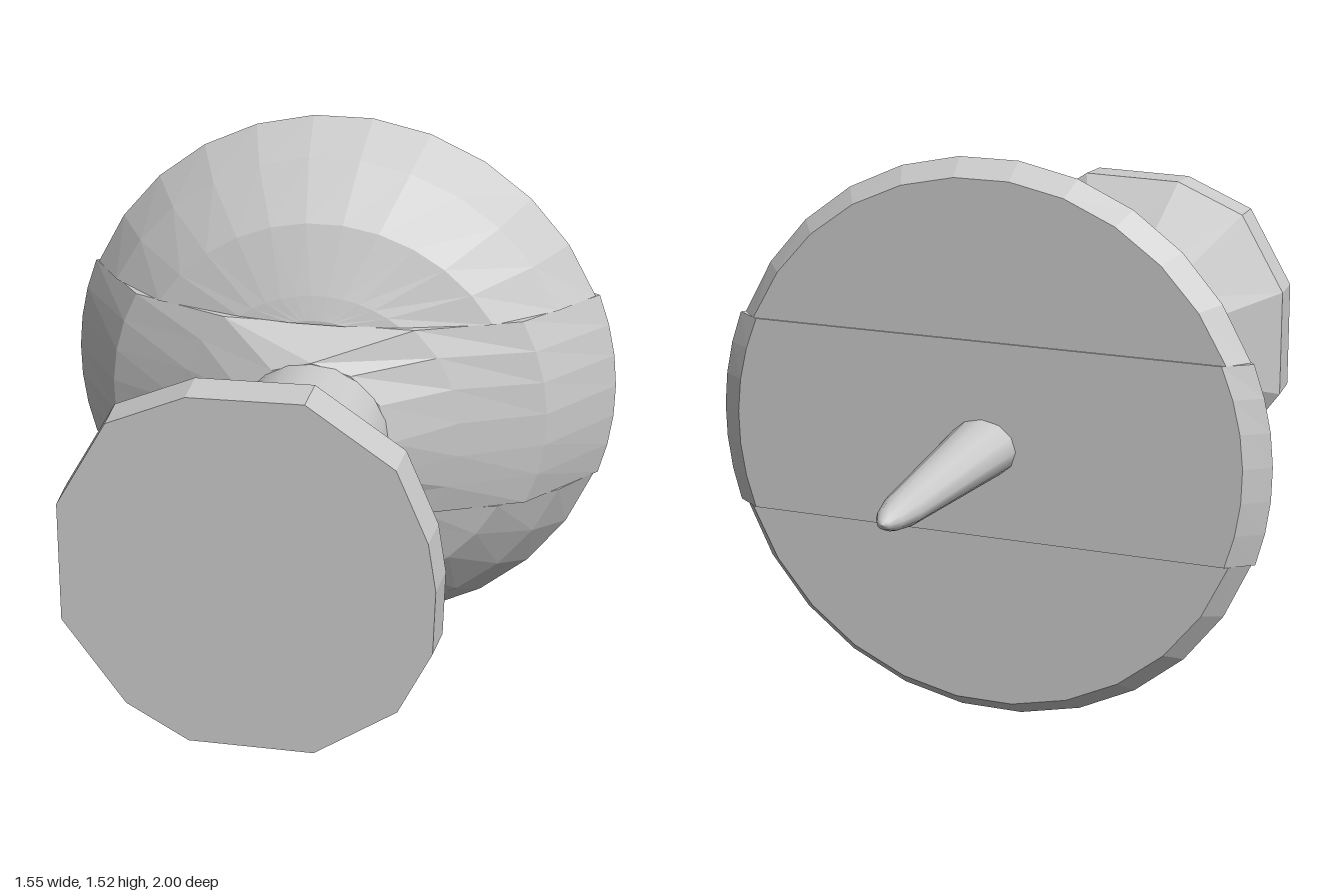
import * as THREE from 'three';

const AXIS_Y = 0.765;      // height of the pin's axis
const CUT_TOP = 0.29;      // slab limits above and below the axis
const CUT_BOTTOM = 0.245;

const flat = new THREE.MeshStandardMaterial({ color: 0xcccccc, flatShading: true });
const smooth = new THREE.MeshStandardMaterial({ color: 0xcccccc });

// Skin closed rings (counter-clockwise seen from +z, ordered front to back) and cap both ends
function loft(rings) {
  const n = rings[0].length, last = (rings.length - 1) * n, index = [];
  for (let i = 0; i < rings.length - 1; i++) {
    for (let j = 0; j < n; j++) {
      const k = (j + 1) % n, a = i * n + j, b = i * n + k;
      index.push(a, a + n, b, b, a + n, b + n);
    }
  }
  for (let j = 1; j < n - 1; j++) index.push(0, j, j + 1, last, last + j + 1, last + j);
  const geometry = new THREE.BufferGeometry();
  geometry.setAttribute('position', new THREE.Float32BufferAttribute(rings.flat(2), 3));
  geometry.setIndex(index);
  const result = geometry.toNonIndexed();
  result.computeVertexNormals();
  return result;
}

// Points on an arc of radius r in the plane z
function arc(r, z, from, to, steps) {
  return Array.from({ length: steps + 1 }, (_, i) => {
    const t = from + (to - from) * i / steps;
    return [r * Math.cos(t), r * Math.sin(t), z];
  });
}

const cutAngle = (h, r) => Math.asin(Math.min(1, h / r));

// Lathe turned so that its profile runs along z
function turned(profile, sides) {
  const points = profile.map(([r, z]) => new THREE.Vector2(r, z));
  return new THREE.LatheGeometry(points, sides).rotateX(Math.PI / 2);
}

export function createModel() {
  const group = new THREE.Group();
  function add(name, geometry, material) {
    const mesh = new THREE.Mesh(geometry, material);
    mesh.name = name;
    mesh.position.y = AXIS_Y;
    group.add(mesh);
    return mesh;
  }

  // Grip head: uneven polygon disc tapering to the round shaft
  const rim = [
    [0.48, 0.015], [0.46, 0.14], [0.38, 0.325], [0.16, 0.475], [-0.13, 0.47], [-0.33, 0.385],
    [-0.46, 0.16], [-0.46, -0.155], [-0.3, -0.375], [-0.14, -0.465], [0.18, -0.465],
    [0.39, -0.325], [0.475, -0.155],
  ];
  add('gripHead', loft([
    rim.map(([x, y]) => [x * 0.985, y * 0.99, 1]),
    rim.map(([x, y]) => [x, y, 0.89]),
    rim.map(([x, y]) => {
      const s = 0.215 / Math.hypot(x, y);
      return [x * s, y * s, 0.67];
    }),
  ]), flat);

  // Shaft between head and flange
  add('shaft', turned([[0.212, 0.14], [0.212, 0.68]], 20), smooth);

  // Flange centre: cone with flat top and bottom cuts
  const bandProfile = [[0.215, 0.15], [0.39, 0.05], [0.61, -0.07], [0.775, -0.31], [0.71, -0.36]];
  add('flangeBand', loft(bandProfile.map(([r, z]) => {
    const top = cutAngle(CUT_TOP, r), bottom = cutAngle(CUT_BOTTOM, r);
    return [
      ...arc(r, z, -bottom, top, 6),
      ...arc(r, z, Math.PI - top, Math.PI + bottom, 6),
    ];
  })), flat);

  // Flange domes above and below the centre
  const domeProfile = [[0.3, 0.06], [0.365, 0.04], [0.545, -0.03], [0.685, -0.17], [0.765, -0.3], [0.72, -0.355]];
  for (const [name, cut, start] of [['upperDome', CUT_TOP, 0], ['lowerDome', CUT_BOTTOM, Math.PI]]) {
    add(name, loft(domeProfile.map(([r, z]) => {
      const t = cutAngle(cut, r);
      return arc(r, z, start + t, start + Math.PI - t, 11);
    })), flat);
  }

  // Needle: slightly flattened taper with a rounded tip
  const needle = add('needle', turned([
    [0, -1], [0.018, -0.99], [0.036, -0.955], [0.052, -0.88], [0.096, -0.35],
  ], 12), smooth);
  needle.scale.y = 0.83;

  return group;
}
